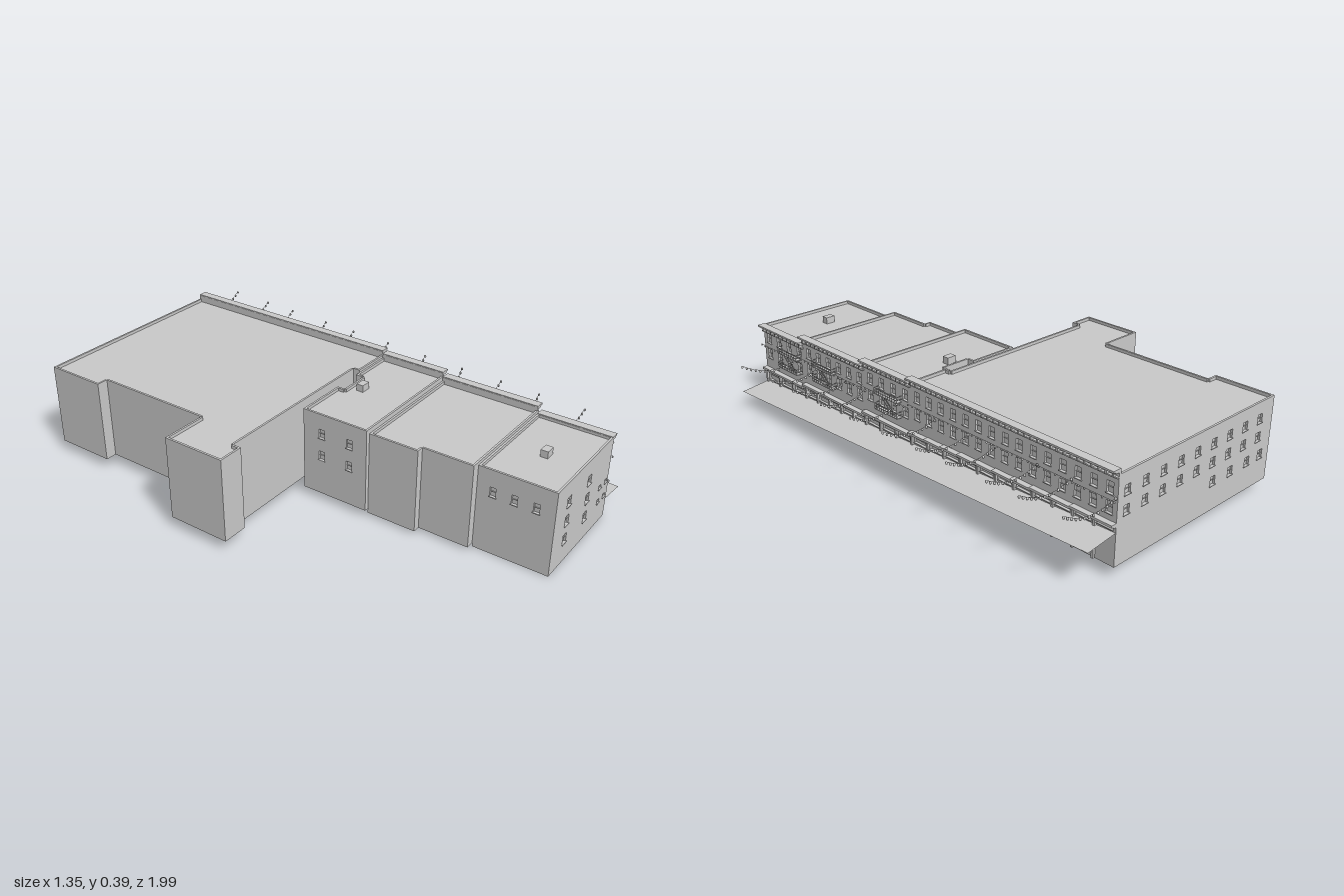
import * as THREE from 'three';
import { mergeGeometries } from 'three/addons/utils/BufferGeometryUtils.js';

const grey = new THREE.MeshStandardMaterial({ color: 0xcccccc, side: THREE.DoubleSide });
const T = 0.008; // wall thickness

function add(parent, name, geometry) {
  const mesh = new THREE.Mesh(geometry, grey);
  mesh.name = name;
  parent.add(mesh);
  return mesh;
}
const box = (w, h, d, x, y, z) => new THREE.BoxGeometry(w, h, d).translate(x, y, z);

// Inside the row, x points out to the street and z runs along the street front.
// The street climbs towards the back.
const streetY = (z) => 0.122 - 0.047 * (z / 0.956);

// Footprints start at the front end of the street wall; edge 0 is the street wall.
const houses = [
  { name: 'largeBlock', base: 0.045, top: 0.37, crown: 0.39, ledge: [0.17, 0.2], beads: 0.285, cols: 15,
    plan: [[0, 0], [0, -0.957], [-0.833, -0.957], [-0.833, -0.714], [-0.788, -0.714], [-0.788, -0.242],
      [-0.967, -0.242], [-0.967, 0.007], [-0.866, 0.007], [-0.866, -0.027], [-0.166, -0.027], [-0.166, 0]] },
  { name: 'notchedHouse', base: 0.03, top: 0.36, crown: 0.378, ledge: [0.163, 0.163], beads: 0.27, cols: 4, escape: 0.12,
    plan: [[0, 0.273], [0, 0], [-0.187, 0], [-0.187, 0.031], [-0.306, 0.031], [-0.306, 0], [-0.515, 0], [-0.515, 0.273]],
    hatch: [-0.252, 0.075] },
  { name: 'middleHouse', base: 0.013, top: 0.342, crown: 0.36, ledge: [0.15, 0.15], beads: 0.262, cols: 6, escape: 0.52,
    plan: [[0, 0.668], [0, 0.273], [-0.498, 0.273], [-0.498, 0.47], [-0.47, 0.47], [-0.47, 0.668]] },
  { name: 'cornerHouse', base: 0, top: 0.33, crown: 0.332, ledge: [0.138, 0.138], beads: 0.245, cols: 4, escape: 0.76,
    plan: [[0, 0.956], [0, 0.668], [-0.438, 0.668], [-0.438, 0.956]], hatch: [-0.23, 0.813] },
];

// Wall from p to q with recessed windows given as [along, y, width, height]
function wall(parent, name, p, q, y0, y1, windows = []) {
  const dx = q[0] - p[0], dz = q[1] - p[1], len = Math.hypot(dx, dz);
  const rect = (Kind, x0, x1, a, b) => new Kind([[x0, a], [x1, a], [x1, b], [x0, b]].map(([x, y]) => new THREE.Vector2(x, y)));
  const shape = rect(THREE.Shape, 0, len, y0, y1);
  const trims = [];
  for (const [x, y, w, h] of windows) {
    shape.holes.push(rect(THREE.Path, x - w / 2, x + w / 2, y - h / 2, y + h / 2));
    trims.push(new THREE.PlaneGeometry(w, h).translate(x, y, -T));
    trims.push(box(w, 0.002, 0.003, x, y, -T + 0.002));
    trims.push(box(w + 0.006, 0.003, 0.007, x, y - h / 2 - 0.001, 0));
  }
  const group = new THREE.Group();
  group.name = name;
  add(group, 'wallPanel', new THREE.ExtrudeGeometry(shape, { depth: T, bevelEnabled: false }).translate(0, 0, -T));
  if (trims.length) add(group, 'windows', mergeGeometries(trims));
  group.position.set(p[0], 0, p[1]);
  group.rotation.y = Math.atan2(-dz, dx);
  parent.add(group);
}

const grid = (xs, ys, w, h) => xs.flatMap((x) => ys.map((y) => [x, y, w, h]));
const spread = (n, len) => Array.from({ length: n }, (_, i) => ((i + 0.5) * len) / n);

// Windows on the side and rear walls, keyed by house and edge
const sideWindows = {
  'largeBlock 1': [...grid(spread(9, 0.8), [0.305, 0.235], 0.026, 0.034), ...grid([0.5, 0.6, 0.7, 0.78], [0.16], 0.026, 0.034)],
  'notchedHouse 6': grid([0.08, 0.2], [0.28, 0.19], 0.024, 0.036),
  'middleHouse 3': grid([0.1], [0.27, 0.19, 0.11], 0.024, 0.036),
  'cornerHouse 2': grid([0.06, 0.14, 0.22], [0.245], 0.022, 0.036),
  'cornerHouse 3': [...grid([0.1, 0.26], [0.247, 0.172, 0.097], 0.027, 0.037), ...grid([0.37, 0.42], [0.16, 0.1], 0.018, 0.014)],
};

// Street wall: shop bays, ledge, pilasters and crowning cornice
function streetFront(parent, h) {
  const z1 = h.plan[0][1], z0 = h.plan[1][1], len = z1 - z0, mid = (z0 + z1) / 2;
  const ledgeY = (l) => h.ledge[0] + ((h.ledge[1] - h.ledge[0]) * l) / len;
  const bays = Math.round(len / 0.085), bayW = len / bays;
  const windows = spread(h.cols, len).flatMap((l) => [[l, h.top - 0.055, 0.026, 0.042], [l, h.top - 0.123, 0.026, 0.042]]);
  const ledges = [], posts = [];
  for (const l of spread(bays, len)) {
    const z = z1 - l, y = ledgeY(l), low = streetY(z) + 0.008, high = y - 0.012;
    ledges.push(box(0.022, 0.009, bayW, 0.011, y, z), box(0.012, 0.006, bayW, 0.006, y - 0.007, z));
    posts.push(box(0.01, y - h.base, 0.009, 0.004, (y + h.base) / 2, z + bayW / 2 - 0.005));
    if (high - low > 0.008) windows.push([l, (low + high) / 2, bayW * 0.72, high - low]);
  }
  wall(parent, 'streetWall', h.plan[0], h.plan[1], h.base, h.crown - 0.004, windows);
  add(parent, 'shopLedge', mergeGeometries(ledges));
  add(parent, 'shopPosts', mergeGeometries(posts));
  const c = h.crown;
  const cornice = [box(0.034, 0.007, len, 0.01, c - 0.0035, mid), box(0.018, 0.006, len, 0.009, c - 0.01, mid),
    box(0.01, 0.005, len, 0.005, c - 0.029, mid)];
  for (const l of spread(Math.round(len / 0.028), len)) cornice.push(box(0.014, 0.016, 0.007, 0.007, c - 0.02, z1 - l));
  add(parent, 'cornice', mergeGeometries(cornice));
}

// Two railed landings joined by a sloping ladder
function fireEscape(parent, z, y) {
  const parts = [], L = 0.13, D = 0.024;
  for (const level of [y, y + 0.062]) {
    parts.push(box(D, 0.003, L, D / 2, level, z));
    for (const r of [0.012, 0.024]) {
      parts.push(box(0.002, 0.002, L, D, level + r, z));
      for (const s of [-1, 1]) parts.push(box(D, 0.002, 0.002, D / 2, level + r, z + (s * L) / 2));
    }
    for (let i = 0; i <= 10; i++) parts.push(box(0.0015, 0.024, 0.0015, D, level + 0.012, z - L / 2 + (i * L) / 10));
  }
  const run = 0.07, rise = 0.062;
  for (const x of [0.008, 0.018])
    parts.push(new THREE.BoxGeometry(0.002, 0.003, Math.hypot(run, rise)).rotateX(-Math.atan2(rise, run)).translate(x, y + rise / 2, z));
  for (let i = 1; i < 8; i++) parts.push(box(0.01, 0.0015, 0.005, 0.013, y + (rise * i) / 8, z - run / 2 + (run * i) / 8));
  add(parent, 'fireEscape', mergeGeometries(parts));
}

const bulb = (p, r) => new THREE.SphereGeometry(r, 6, 4).scale(1, 1.3, 1).translate(p.x, p.y - r, p.z);

// Wire with evenly spaced bulbs
function lightString(parent, name, curve, count, r) {
  const parts = [new THREE.TubeGeometry(curve, 12, 0.0009, 4)];
  for (const p of curve.getSpacedPoints(count)) parts.push(bulb(p, r));
  add(parent, name, mergeGeometries(parts));
}

export function createModel() {
  const model = new THREE.Group();
  model.name = 'streetRow';
  const row = new THREE.Group();
  row.name = 'buildings';
  row.rotation.y = 0.1575;
  row.position.set(0.3035, 0, -0.024);
  model.add(row);

  for (const h of houses) {
    const house = new THREE.Group();
    house.name = h.name;
    row.add(house);
    streetFront(house, h);
    for (let i = 1; i < h.plan.length; i++)
      wall(house, 'wall', h.plan[i], h.plan[(i + 1) % h.plan.length], h.base, h.top, sideWindows[`${h.name} ${i}`]);

    // Flat roof set below the parapet
    const outline = new THREE.Shape(h.plan.map(([x, z]) => new THREE.Vector2(x, -z)));
    add(house, 'roof', new THREE.ShapeGeometry(outline).rotateX(-Math.PI / 2).translate(0, h.top - 0.012, 0));
    if (h.hatch) add(house, 'roofHatch', box(0.04, 0.028, 0.028, h.hatch[0], h.top + 0.001, h.hatch[1]));
    if (h.escape) fireEscape(house, h.escape, h.ledge[0] + 0.045);

    // Bulbs strung along the front
    const z1 = h.plan[0][1], z0 = h.plan[1][1];
    const line = new THREE.LineCurve3(new THREE.Vector3(0.016, h.beads, z1), new THREE.Vector3(0.016, h.beads, z0));
    lightString(house, 'frontLights', line, Math.round((z1 - z0) / 0.024), 0.0035);
  }

  // Sloping pavement sheet
  const pavement = new THREE.PlaneGeometry(0.127, 1.914).rotateX(-Math.PI / 2).translate(0.0635, 0, 0);
  const pos = pavement.attributes.position;
  for (let i = 0; i < pos.count; i++) pos.setY(i, streetY(pos.getZ(i)) - pos.getX(i) * 0.12);
  pavement.computeVertexNormals();
  add(row, 'pavement', pavement);

  // Festoon strings reaching out over the street: [z, sideways drift]
  const strings = [[-0.952, 0], [-0.775, 0], [-0.629, -0.007], [-0.437, -0.017], [-0.304, -0.004], [-0.133, 0],
    [0.078, -0.029], [0.267, -0.045], [0.387, 0.01], [0.578, -0.017], [0.72, 0.03]];
  for (const [z, drift] of strings) {
    const y = 0.262 - 0.033 * z;
    const curve = new THREE.QuadraticBezierCurve3(new THREE.Vector3(0.005, y, z),
      new THREE.Vector3(0.12, y - 0.045, z + drift / 2), new THREE.Vector3(0.236, y + 0.03, z + drift));
    lightString(row, 'streetLights', curve, 12, 0.0045);
  }
  return model;
}
